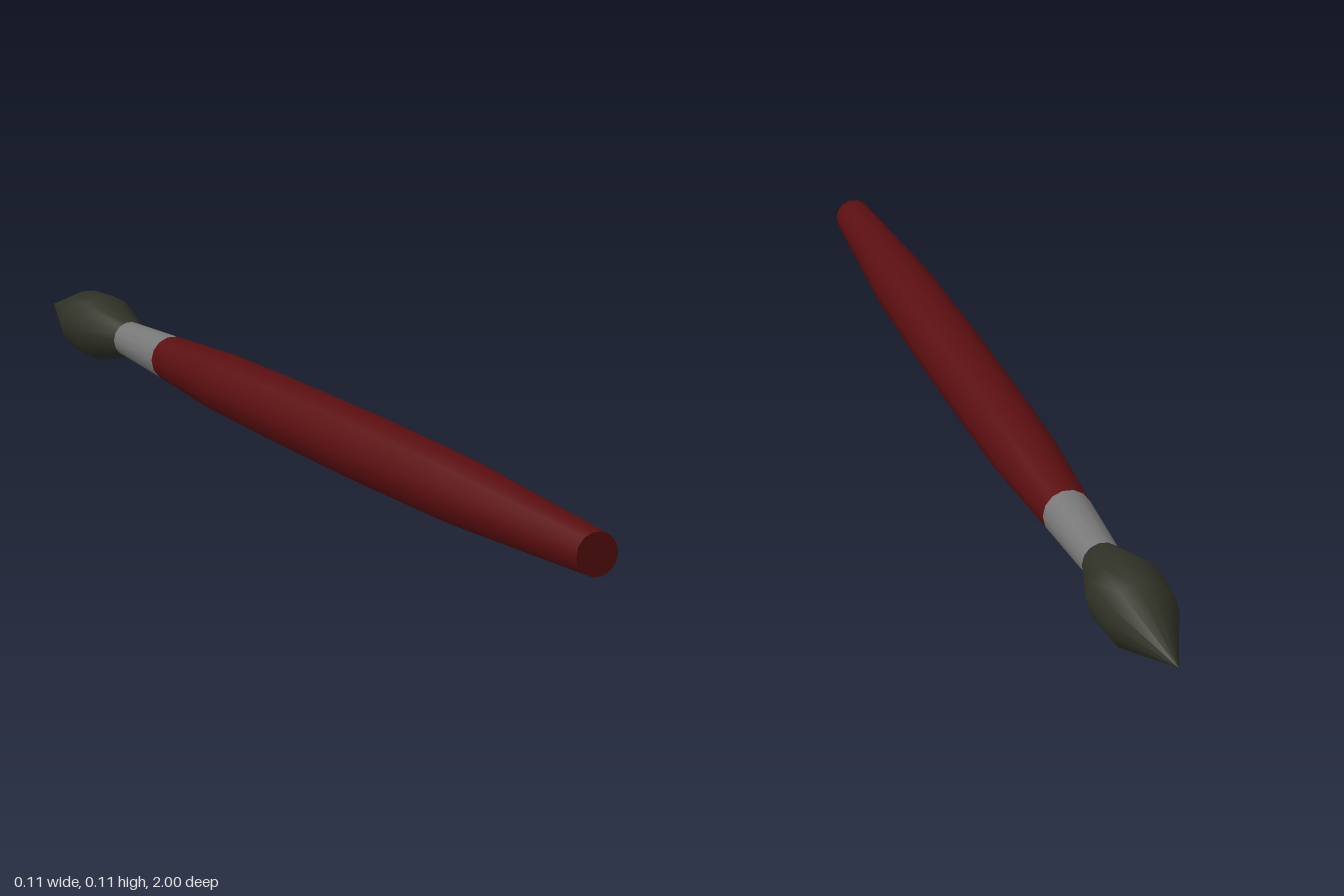
import * as THREE from 'three';

const SIDES = 14;
const AXIS_Y = 0.055;

export function createModel() {
  const brush = new THREE.Group();
  brush.name = 'paintbrush';

  const material = (name, color) => {
    const m = new THREE.MeshStandardMaterial({ color });
    m.name = name;
    return m;
  };
  const redLacquer = material('dark red lacquer', 0x5a0e10);
  const metal = material('grey metal', 0x777777);
  const hair = material('dark olive hair', 0x2f3025);

  const add = (name, geometry, mat) => {
    const mesh = new THREE.Mesh(geometry, mat);
    mesh.name = name;
    mesh.position.y = AXIS_Y;
    brush.add(mesh);
    return mesh;
  };

  // Turned part lying along z; profile is [z, radius] from back to front
  const turned = (name, profile, mat) => {
    const points = profile.map(([z, r]) => new THREE.Vector2(r, z));
    const geometry = new THREE.LatheGeometry(points, SIDES, Math.PI / 2);
    geometry.rotateX(Math.PI / 2);
    return add(name, geometry, mat);
  };

  // Handle, swelling in the middle, with a flat butt end
  turned('handle', [
    [-0.45, 0.037], [-0.22, 0.048], [0, 0.051], [0.3, 0.052], [0.6, 0.049], [1, 0.031],
  ], redLacquer);
  add('handleEnd', new THREE.CircleGeometry(0.031, SIDES), redLacquer).position.z = 1;

  // Metal sleeve
  turned('ferrule', [[-0.64, 0.029], [-0.45, 0.037]], metal);

  // Pointed tuft
  turned('bristles', [
    [-1, 0], [-0.83, 0.052], [-0.75, 0.056], [-0.635, 0.03],
  ], hair);

  return brush;
}
